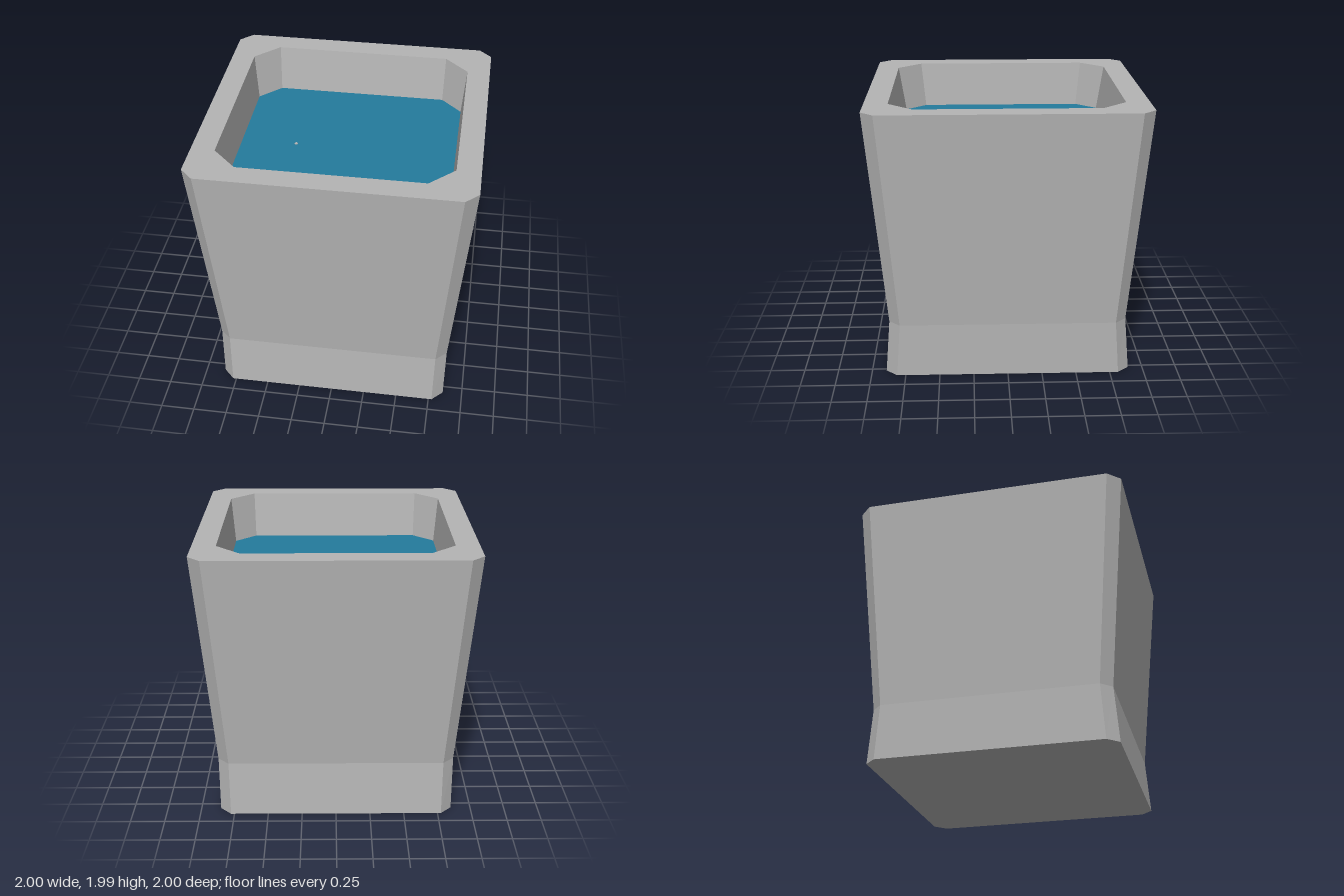
import * as THREE from 'three';

// Chamfered rectangle at height y: half sizes hx, hz and flat-side half lengths cx, cz
function ring(y, hx, hz, cx, cz) {
  return [[hx, cz], [cx, hz], [-cx, hz], [-hx, cz], [-hx, -cz], [-cx, -hz], [cx, -hz], [hx, -cz]]
    .map(([x, z]) => [x, y, z]);
}

function geometryFrom(points) {
  const geometry = new THREE.BufferGeometry();
  geometry.setAttribute('position', new THREE.Float32BufferAttribute(points.flat(), 3));
  geometry.computeVertexNormals();
  return geometry;
}

// Triangles joining successive rings, outward when rings go up
function walls(rings) {
  const points = [];
  for (let r = 0; r < rings.length - 1; r++) {
    for (let i = 0; i < 8; i++) {
      const j = (i + 1) % 8;
      const a = rings[r][i], b = rings[r][j], c = rings[r + 1][i], d = rings[r + 1][j];
      points.push(a, c, b, b, c, d);
    }
  }
  return points;
}

// Flat cap over one ring
function cap(loop, up) {
  const points = [], centre = [0, loop[0][1], 0];
  loop.forEach((a, i) => {
    const b = loop[(i + 1) % 8];
    points.push(centre, ...(up ? [b, a] : [a, b]));
  });
  return points;
}

export function createModel() {
  const model = new THREE.Group();
  const stone = new THREE.MeshStandardMaterial({ color: 0xb4b4b4 });
  stone.name = 'grey stone';
  const blue = new THREE.MeshStandardMaterial({ color: 0x247b9c });
  blue.name = 'water blue';

  const add = (name, geometry, material) => {
    const mesh = new THREE.Mesh(geometry, material);
    mesh.name = name;
    model.add(mesh);
    return mesh;
  };

  // Basin: foot, waist, outer rim, inner rim, then down to the water line
  const foot = ring(0, 0.855, 0.895, 0.775, 0.812);
  const waterLine = ring(1.645, 0.8, 0.775, 0.645, 0.62);
  const rings = [
    foot,
    ring(0.4, 0.862, 0.862, 0.783, 0.783),
    ring(1.985, 1, 1, 0.908, 0.908),
    ring(1.985, 0.83, 0.83, 0.655, 0.655),
    waterLine,
  ];
  add('basin', geometryFrom([...walls(rings), ...cap(foot, false)]), stone);

  // Water surface
  add('water', geometryFrom(cap(waterLine, true)), blue);

  // Tiny pebble showing at the surface
  const pebble = add('pebble', new THREE.CylinderGeometry(0.013, 0.013, 0.006, 8), stone);
  pebble.position.set(-0.39, 1.647, 0);

  return model;
}
